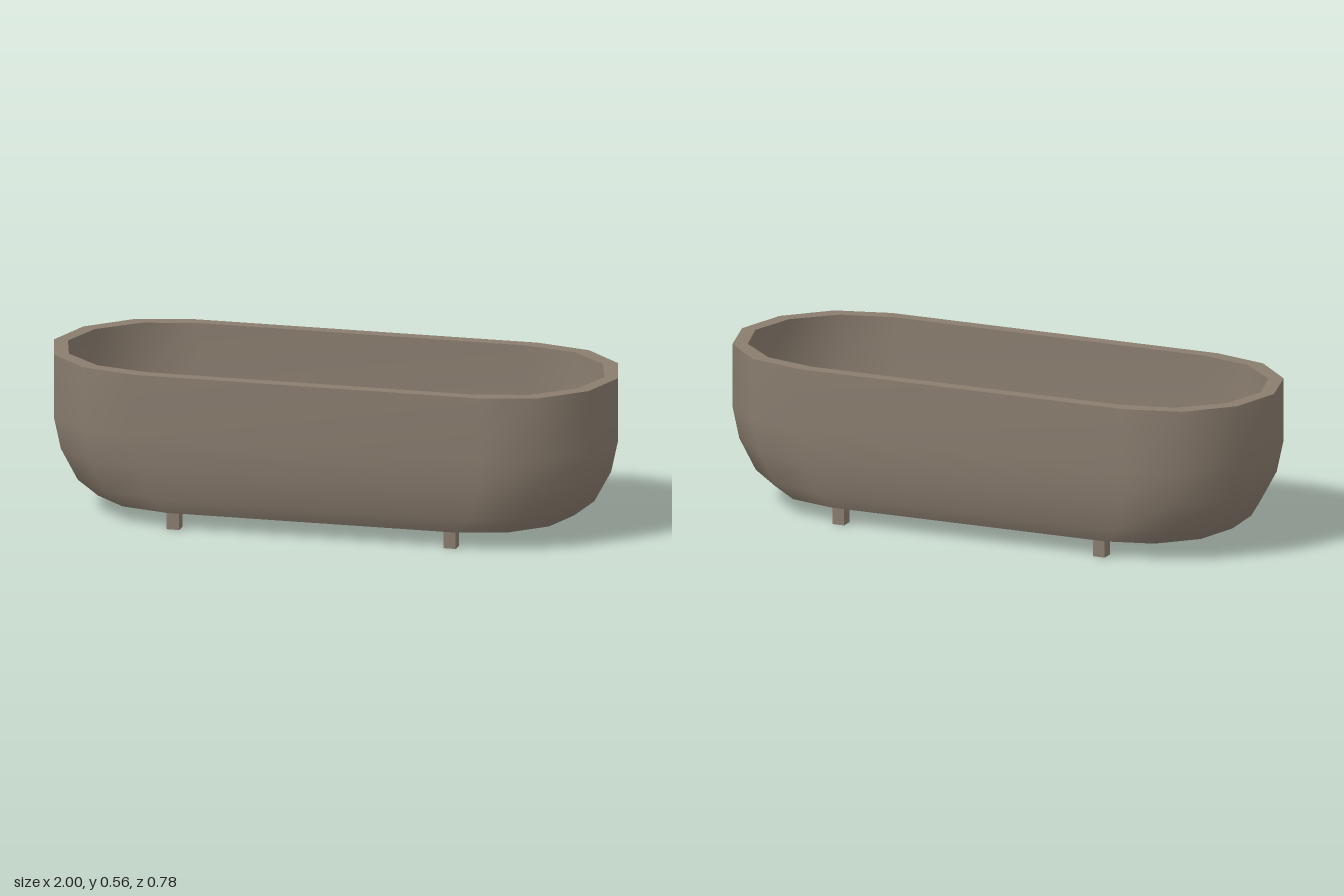
import * as THREE from 'three';

const RADIUS = 0.388, HALF = 0.612, TOP = 0.555, BASE = 0.058, FLOOR = 0.106;

// Stadium outline: two half circles of six segments, joined by straight sides
function outline(sx, sz) {
  const pts = [];
  for (const end of [0, 1]) {
    for (let i = 0; i <= 6; i++) {
      const a = -Math.PI / 2 + end * Math.PI + (i * Math.PI) / 6;
      pts.push([sx * ((end ? -HALF : HALF) + RADIUS * Math.cos(a)), sz * RADIUS * Math.sin(a)]);
    }
  }
  return pts;
}

// Smooth skin through scaled outlines, each section being [sx, sz, y]
function loft(sections) {
  const pos = [], index = [];
  sections.forEach(([sx, sz, y]) => outline(sx, sz).forEach(([x, z]) => pos.push(x, y, z)));
  const n = outline(1, 1).length;
  for (let j = 0; j < sections.length - 1; j++) {
    for (let i = 0; i < n; i++) {
      const a = j * n + i, b = j * n + ((i + 1) % n);
      index.push(a, a + n, b, b, a + n, b + n);
    }
  }
  const geo = new THREE.BufferGeometry();
  geo.setAttribute('position', new THREE.Float32BufferAttribute(pos, 3));
  geo.setIndex(index);
  geo.computeVertexNormals();
  return geo;
}

// Flat plate filling an outline, facing up (1) or down (-1)
function cap(sx, sz, y, facing) {
  const shape = new THREE.Shape(outline(sx, sz).map(([x, z]) => new THREE.Vector2(x, z)));
  return new THREE.ShapeGeometry(shape).rotateX((-facing * Math.PI) / 2).translate(0, y, 0);
}

export function createModel() {
  const group = new THREE.Group();
  group.name = 'bathtub';
  const stone = new THREE.MeshStandardMaterial({ color: 0x8a7d6f });
  stone.name = 'warm stone';
  const add = (name, geo) => {
    const mesh = new THREE.Mesh(geo, stone);
    mesh.name = name;
    group.add(mesh);
    return mesh;
  };

  // Wall profile from the base up: [scale, height]
  const profile = [[0.843, BASE], [0.915, 0.113], [0.975, 0.222], [1, 0.335], [1, TOP]];
  const inX = 0.95, inZ = 0.88;
  const depth = (TOP - FLOOR) / (TOP - BASE);

  add('outerWall', loft(profile.map(([s, y]) => [s, s, y])));
  add('innerWall', loft(profile.map(([s, y]) => [s * inX, s * inZ, TOP - (TOP - y) * depth]).reverse()));
  add('rim', loft([[1, 1, TOP], [inX, inZ, TOP]]));
  add('basinFloor', cap(0.843 * inX, 0.843 * inZ, FLOOR, 1));
  add('underside', cap(0.843, 0.843, BASE, -1));

  // Four small square feet
  for (const x of [-0.49, 0.49]) {
    for (const z of [-0.305, 0.305]) {
      add('foot', new THREE.BoxGeometry(0.044, BASE, 0.044)).position.set(x, BASE / 2, z);
    }
  }
  return group;
}
